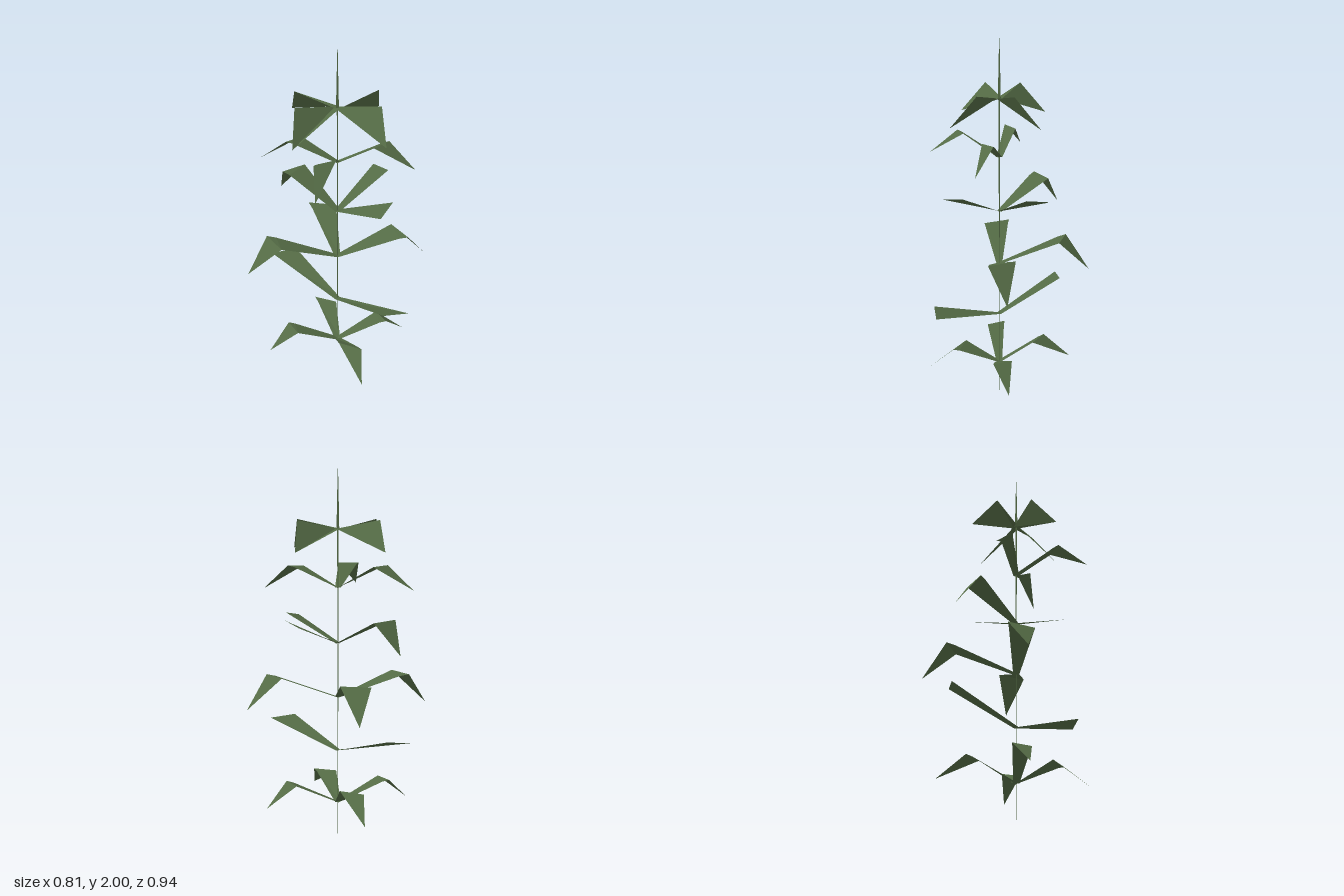
import * as THREE from 'three';

const leafGreen = new THREE.MeshStandardMaterial({ color: 0x546b45, flatShading: true, side: THREE.DoubleSide });
leafGreen.name = 'leaf green';

// Whorls from bottom to top. Each leaf: two bend corners and a tip as [x, y, z], and its
// turns about the stem in quarter circles. A leaf without a tip is a plain unfolded blade.
const whorls = [
  { y: 0.185, leaves: [
    { a: [-0.133, 0.308, 0.133], b: [-0.085, 0.305, 0.261], tip: [-0.196, 0.18, 0.363], turns: [0, 2] },
    { a: [0.195, 0.308, 0.205], b: [0.225, 0.305, 0.1], tip: [0.338, 0.18, 0.217], turns: [0, 2] } ] },
  { y: 0.482, leaves: [
    { a: [-0.067, 0.61, 0.397], b: [0.053, 0.597, 0.472], turns: [0, 2] } ] },
  { y: 0.78, leaves: [
    { a: [0.256, 0.907, 0.289], b: [0.294, 0.907, 0.136], tip: [0.407, 0.73, 0.289], turns: [0, 2] },
    { a: [0.234, 0.907, -0.226], b: [0.146, 0.907, -0.36], tip: [0.289, 0.73, -0.405], turns: [0] } ] },
  { y: 1.078, leaves: [
    { a: [0.316, 1.225, 0.085], b: [0.347, 1.2, -0.048], turns: [0] },
    { a: [-0.053, 1.2, 0.345], b: [0.08, 1.225, 0.314], turns: [0] },
    { a: [0.06, 1.22, -0.3], b: [-0.085, 1.226, -0.326], tip: [0, 1.055, -0.43], turns: [0] } ] },
  { y: 1.378, leaves: [
    { a: [0.078, 1.492, 0.18], b: [0.183, 1.497, 0.192], tip: [0.221, 1.367, 0.341], turns: [0, 2] },
    { a: [-0.259, 1.493, 0.078], b: [-0.146, 1.497, 0.126], tip: [-0.364, 1.367, 0.188], turns: [0] } ] },
  { y: 1.69, leaves: [
    { a: [0, 1.578, 0.325], b: [0.085, 1.738, 0.218], turns: [0, 2] },
    { a: [-0.085, 1.738, 0.218], b: [0, 1.578, 0.325], turns: [1, 3] } ] },
];

// Leaf blade: rises from a narrow foot to a creased bend, then droops to the tip
function leafGeometry(y, { a, b, tip }) {
  const dx = a[0] + b[0], dz = a[2] + b[2], k = 0.016 / Math.hypot(dx, dz);
  const footA = [-dz * k, y, dx * k], footB = [dz * k, y, -dx * k];
  // Put each foot corner on the same side as its bend corner
  const [fa, fb] = a[2] * dx > a[0] * dz ? [footA, footB] : [footB, footA];
  let faces = [fa, fb, b, fa, b, a];
  if (tip) {
    // The farther bend corner folds back to a knee just inside it
    const aFar = Math.hypot(a[0], a[2]) > Math.hypot(b[0], b[2]);
    const far = aFar ? a : b, near = aFar ? b : a;
    const knee = [far[0] * 0.87, far[1] - 0.01, far[2] * 0.87];
    const [ka, kb] = aFar ? [knee, b] : [a, knee];
    faces = [fa, fb, kb, fa, kb, ka, near, far, knee, a, b, tip];
  }
  const geometry = new THREE.BufferGeometry();
  geometry.setAttribute('position', new THREE.Float32BufferAttribute(faces.flat(), 3));
  geometry.computeVertexNormals();
  return geometry;
}

export function createModel() {
  const plant = new THREE.Group();
  plant.name = 'plant';

  // Stem, thinning towards the ground
  const stem = new THREE.Mesh(new THREE.CylinderGeometry(0.005, 0.0011, 1.7, 4), leafGreen);
  stem.name = 'stem';
  stem.position.y = 0.85;
  plant.add(stem);

  // Slender shoot at the top
  const shoot = new THREE.Mesh(new THREE.CylinderGeometry(0.0015, 0.01, 0.31, 4), leafGreen);
  shoot.name = 'topShoot';
  shoot.position.y = 1.845;
  plant.add(shoot);

  // Leaf whorls
  whorls.forEach(({ y, leaves }, level) => {
    const whorl = new THREE.Group();
    whorl.name = `leafWhorl${level + 1}`;
    for (const spec of leaves) {
      const geometry = leafGeometry(y, spec);
      for (const turn of spec.turns) {
        const leaf = new THREE.Mesh(geometry, leafGreen);
        leaf.name = 'leaf';
        leaf.rotation.y = turn * Math.PI / 2;
        whorl.add(leaf);
      }
    }
    plant.add(whorl);
  });
  return plant;
}
